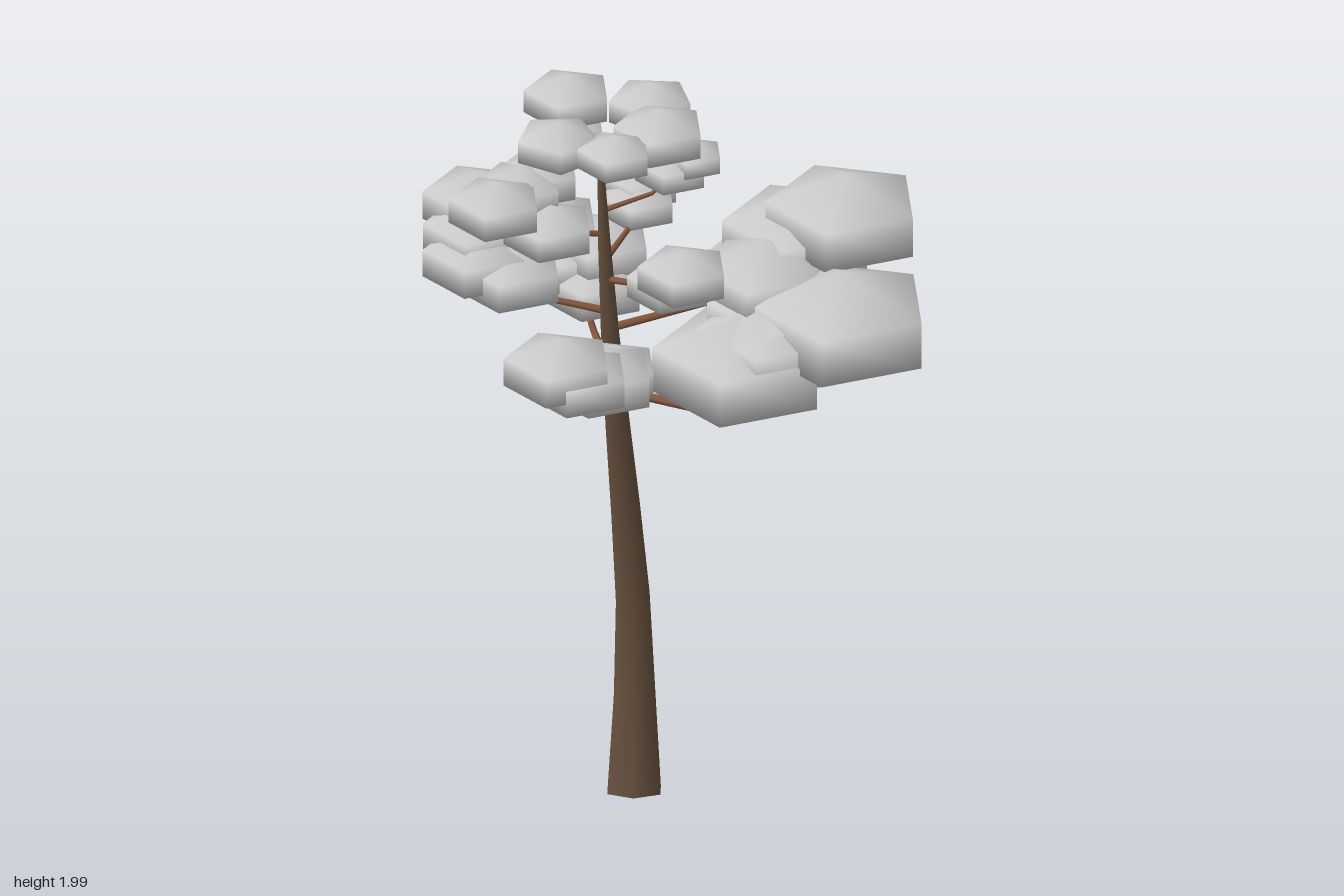
import * as THREE from 'three';

const V = (p) => new THREE.Vector3(...p);

// Tube along points whose radius runs through the listed values
function taperedTube(points, radii, segments, sides, smooth) {
  const curve = smooth
    ? new THREE.CatmullRomCurve3(points.map(V))
    : new THREE.CurvePath();
  if (!smooth) {
    for (let i = 1; i < points.length; i++) {
      curve.add(new THREE.LineCurve3(V(points[i - 1]), V(points[i])));
    }
  }
  const geo = new THREE.TubeGeometry(curve, segments, 1, sides);
  const pos = geo.attributes.position;
  const v = new THREE.Vector3();
  for (let i = 0; i <= segments; i++) {
    const u = i / segments;
    const c = curve.getPointAt(u);
    const f = u * (radii.length - 1);
    const k = Math.min(Math.floor(f), radii.length - 2);
    const r = THREE.MathUtils.lerp(radii[k], radii[k + 1], f - k);
    for (let j = 0; j <= sides; j++) {
      const n = i * (sides + 1) + j;
      v.fromBufferAttribute(pos, n).sub(c).multiplyScalar(r).add(c);
      pos.setXYZ(n, v.x, v.y, v.z);
    }
  }
  return geo;
}

// Five-sided puff of unit ring radius, with a high dome and a flatter underside
function puffGeometry() {
  const geo = new THREE.SphereGeometry(1 / Math.sin(Math.PI / 3), 5, 3);
  geo.rotateY(Math.PI);
  const pos = geo.attributes.position;
  for (let i = 0; i < pos.count; i++) {
    if (Math.abs(pos.getY(i)) < 1) pos.setY(i, pos.getY(i) - 0.2);
  }
  return geo;
}

export function createModel() {
  const tree = new THREE.Group();
  tree.name = 'tree';
  const leaf = new THREE.MeshStandardMaterial({ color: 0xcccccc });
  const bark = new THREE.MeshStandardMaterial({ color: 0x66503d, side: THREE.DoubleSide });
  const twig = new THREE.MeshStandardMaterial({ color: 0x85583f, side: THREE.DoubleSide });

  // Leaning, slightly bowed trunk
  const trunk = new THREE.Mesh(taperedTube([
    [-0.107, 0.022, -0.022], [-0.134, 0.28, -0.068], [-0.149, 0.55, -0.083],
    [-0.159, 0.82, -0.062], [-0.165, 1.2, -0.015], [-0.175, 1.5, 0.004], [-0.185, 1.84, 0.016],
  ], [0.078, 0.057, 0.046, 0.039, 0.029, 0.02, 0.008], 7, 6, true), bark);
  trunk.name = 'trunk';
  tree.add(trunk);

  // Branches: root at the trunk, elbow, tip inside its foliage
  const branches = [
    [[-0.16, 1.16, -0.02], [0.15, 1.19, 0.01], [0.27, 1.3, 0.03]],
    [[-0.165, 1.2, -0.015], [-0.34, 1.2, -0.2], [-0.4, 1.27, -0.25]],
    [[-0.165, 1.26, -0.01], [-0.08, 1.27, 0.22], [-0.04, 1.34, 0.31]],
    [[-0.168, 1.34, -0.005], [0.08, 1.42, -0.18], [0.2, 1.5, -0.28]],
    [[-0.17, 1.39, 0], [-0.36, 1.41, 0.06], [-0.44, 1.48, 0.08]],
    [[-0.173, 1.48, 0], [0.01, 1.54, 0.07], [0.08, 1.6, 0.09]],
    [[-0.175, 1.54, 0], [-0.2, 1.56, -0.17], [-0.23, 1.61, -0.24]],
    [[-0.178, 1.61, 0.005], [-0.27, 1.65, 0.13], [-0.32, 1.74, 0.2]],
    [[-0.18, 1.68, 0.01], [-0.07, 1.73, -0.06], [-0.03, 1.8, -0.1]],
  ];
  branches.forEach((pts, i) => {
    const r = 0.014 - i * 0.0008;
    const b = new THREE.Mesh(taperedTube(pts, [r, r * 0.6], 12, 5, false), twig);
    b.name = 'branch';
    tree.add(b);
  });

  // Foliage puffs, each [x, y, z, radius, turn]
  const puff = puffGeometry();
  const clumps = {
    largeClump: [
      [0.315, 1.647, -0.36, 0.203], [0.2, 1.575, -0.33, 0.2], [0.17, 1.49, -0.25, 0.2],
      [0.445, 1.48, -0.14, 0.235], [0.29, 1.45, -0.13, 0.21],
      [0.238, 1.372, 0.02, 0.227], [0.3, 1.42, -0.04, 0.2], [0.2, 1.53, -0.15, 0.18],
    ],
    backClump: [
      [-0.53, 1.412, -0.295, 0.137], [-0.4, 1.37, -0.335, 0.137],
      [-0.47, 1.34, -0.31, 0.14], [-0.385, 1.292, -0.28, 0.135],
    ],
    sideClump: [
      [-0.568, 1.597, -0.015, 0.143], [-0.53, 1.545, 0.05, 0.14],
      [-0.5, 1.5, 0.1, 0.14], [-0.41, 1.472, 0.08, 0.138],
    ],
    frontClump: [
      [-0.057, 1.45, 0.42, 0.143], [-0.02, 1.41, 0.385, 0.135],
      [-0.018, 1.37, 0.28, 0.143], [-0.02, 1.36, 0.22, 0.12],
    ],
    innerClump: [
      [0.127, 1.632, 0.115, 0.119], [0.07, 1.58, 0.09, 0.11],
    ],
    rearUpperClump: [
      [-0.249, 1.62, -0.285, 0.105], [-0.22, 1.59, -0.23, 0.1],
    ],
    upperClump: [
      [-0.335, 1.77, 0.276, 0.122], [-0.345, 1.758, 0.15, 0.118],
      [-0.335, 1.765, 0.07, 0.11], [-0.24, 1.685, 0.17, 0.118],
    ],
    smallClump: [
      [0.01, 1.83, -0.12, 0.08], [-0.035, 1.8, -0.09, 0.095], [-0.31, 1.835, -0.09, 0.065],
    ],
    crown: [
      [-0.327, 1.936, -0.062, 0.115], [-0.126, 1.936, -0.135, 0.11, 0.15], [-0.024, 1.936, -0.015, 0.12],
      [-0.058, 1.936, 0.15, 0.097], [-0.218, 1.936, 0.168, 0.109, 0.31],
    ],
  };
  for (const [name, list] of Object.entries(clumps)) {
    const group = new THREE.Group();
    group.name = name;
    for (const [x, y, z, r, turn = 0] of list) {
      const m = new THREE.Mesh(puff, leaf);
      m.name = 'foliage';
      m.position.set(x, y, z);
      m.scale.set(r, r * 0.47, r);
      m.rotation.y = turn;
      group.add(m);
    }
    tree.add(group);
  }
  return tree;
}
